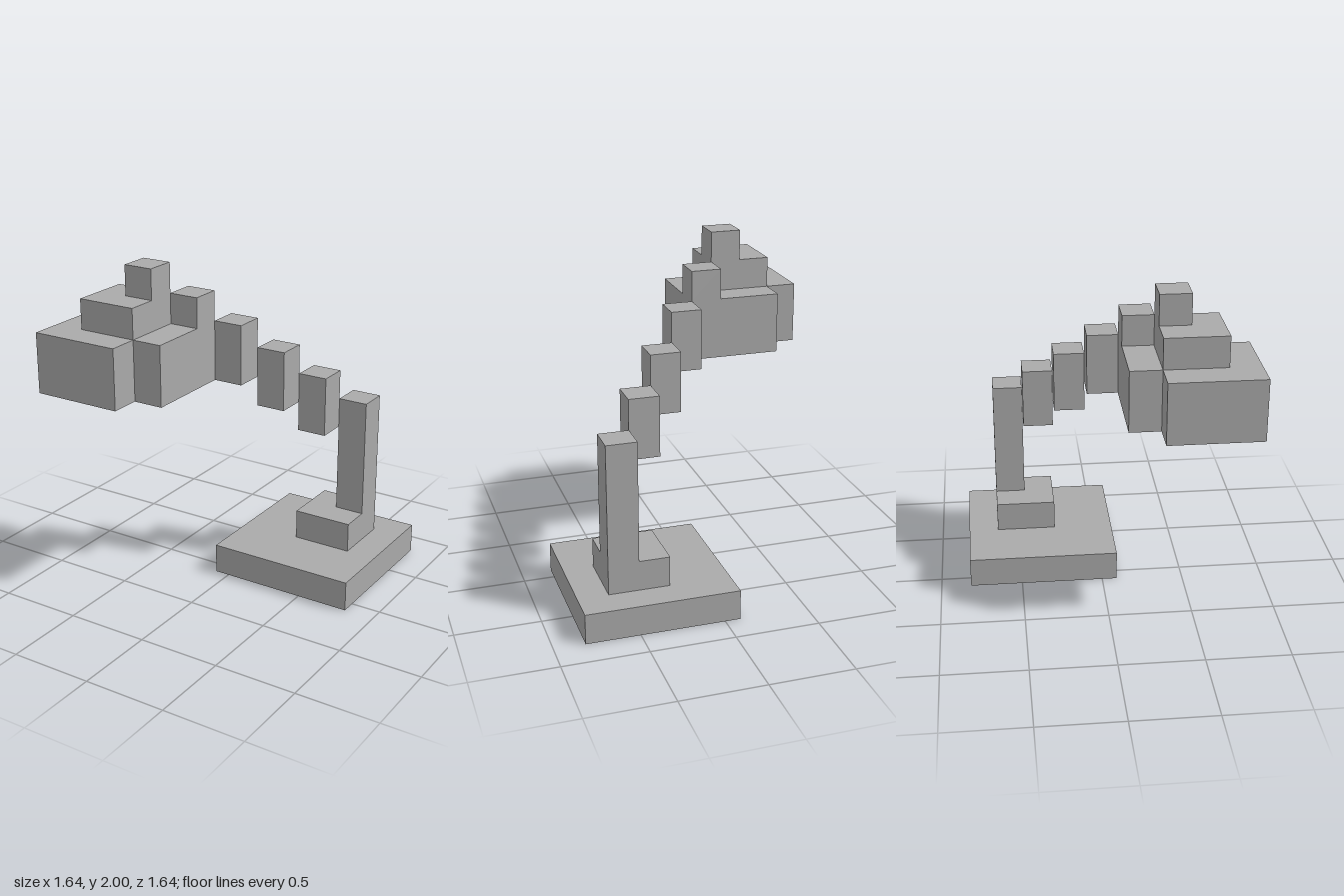
import * as THREE from 'three';

// Everything sits on a cubic grid: 9 x 11 x 9 cells
const U = 2 / 11;
const OFFSET = 4.5;

export function createModel() {
  const lamp = new THREE.Group();
  lamp.name = 'blockyDeskLamp';
  const grey = new THREE.MeshStandardMaterial({ color: 0xaaaaaa });
  grey.name = 'grey';

  const add = (name, geometry) => {
    const mesh = new THREE.Mesh(geometry, grey);
    mesh.name = name;
    lamp.add(mesh);
  };

  // Box between two grid corners
  const block = (name, [x0, y0, z0], [x1, y1, z1]) => {
    const g = new THREE.BoxGeometry((x1 - x0) * U, (y1 - y0) * U, (z1 - z0) * U);
    g.translate(((x0 + x1) / 2 - OFFSET) * U, ((y0 + y1) / 2) * U, ((z0 + z1) / 2 - OFFSET) * U);
    add(name, g);
  };

  // Foot and post
  block('base', [4, 0, 0], [9, 1, 5]);
  block('baseStep', [6, 1, 1], [8, 2, 3]);
  block('post', [7, 1, 1], [8, 6, 2]);

  // Arm climbing diagonally towards the front right
  for (let i = 0; i < 3; i++) {
    block(`armBlock${i + 1}`, [6 - i, 5 + i, 2 + i], [7 - i, 7 + i, 3 + i]);
  }

  // Shade: two offset squares merged into one outline
  const outline = [[1, 5], [4, 5], [4, 8], [3, 8], [3, 9], [0, 9], [0, 6], [1, 6]];
  const shape = new THREE.Shape(
    outline.map(([x, z]) => new THREE.Vector2((x - OFFSET) * U, (z - OFFSET) * U))
  );
  const shade = new THREE.ExtrudeGeometry(shape, { depth: 2 * U, bevelEnabled: false });
  shade.rotateX(Math.PI / 2);
  shade.translate(0, 9 * U, 0);
  add('shade', shade);

  // Stepped top of the shade
  block('armJoint', [3, 9, 5], [4, 10, 6]);
  block('shadeTop', [1, 9, 6], [3, 10, 8]);
  block('shadeKnob', [2, 10, 6], [3, 11, 7]);

  return lamp;
}
